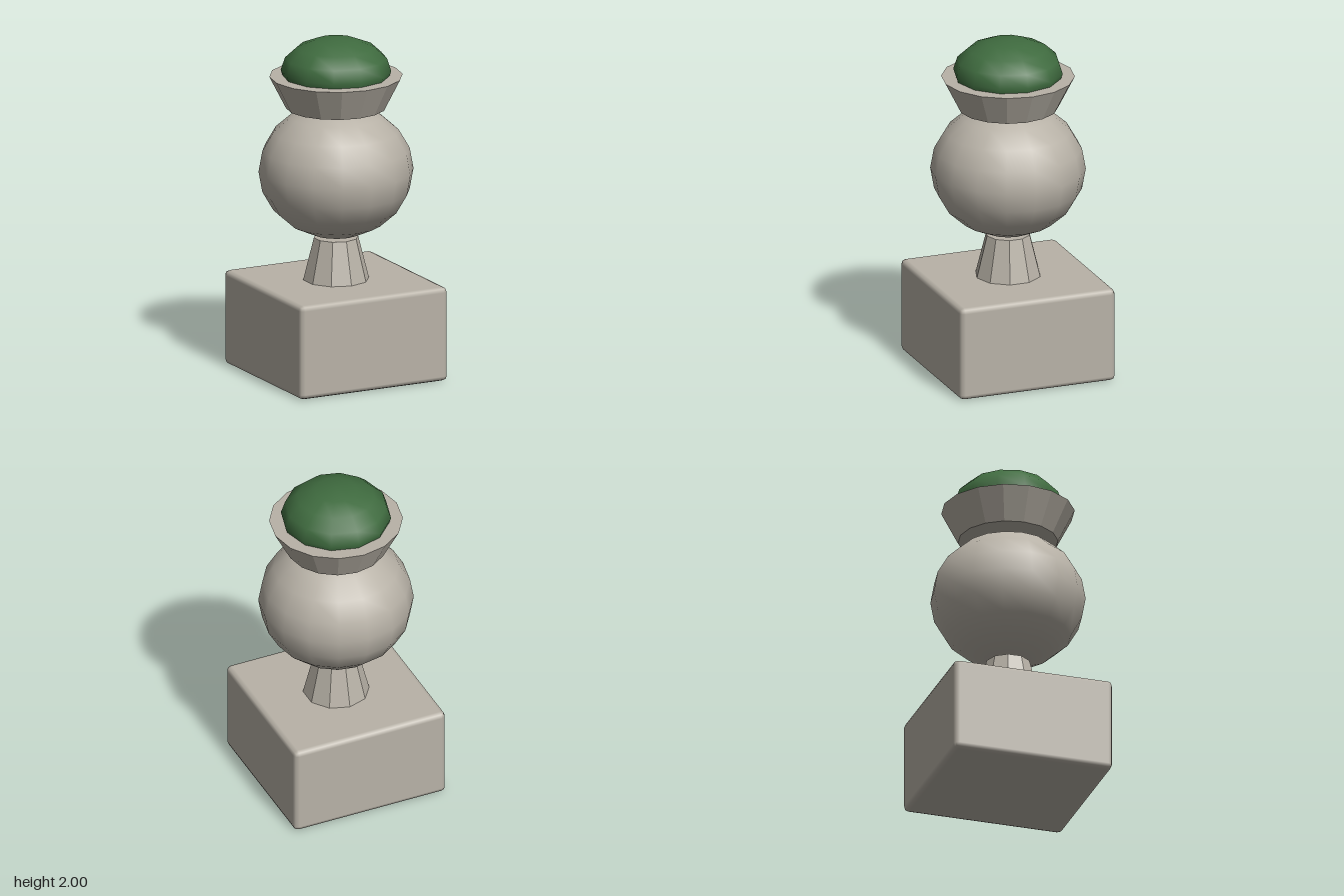
import * as THREE from 'three';
import { RoundedBoxGeometry } from 'three/addons/geometries/RoundedBoxGeometry.js';

const stone = new THREE.MeshStandardMaterial({ color: 0xb8b2a7 });
const facetedStone = new THREE.MeshStandardMaterial({ color: 0xb8b2a7, flatShading: true });
const green = new THREE.MeshStandardMaterial({ color: 0x3f6b3f });

export function createModel() {
  const group = new THREE.Group();
  const add = (name, geometry, material, y) => {
    const mesh = new THREE.Mesh(geometry, material);
    mesh.name = name;
    mesh.position.y = y;
    group.add(mesh);
    return mesh;
  };

  // Square plinth with softened edges
  add('base', new RoundedBoxGeometry(0.965, 0.56, 0.965, 1, 0.03), stone, 0.28);

  // Tapered faceted neck
  add('neck', new THREE.CylinderGeometry(0.13, 0.193, 0.25, 10), facetedStone, 0.685);

  // Slightly flattened ball
  const ball = add('ball', new THREE.SphereGeometry(0.45, 16, 10), stone, 1.21);
  ball.scale.y = 0.88;

  // Flared collar, solid top and bottom
  add('collar', new THREE.CylinderGeometry(0.387, 0.29, 0.19, 16), facetedStone, 1.68);

  // Flattened green cushion sitting in the collar
  const dome = add('dome', new THREE.SphereGeometry(0.32, 12, 8), green, 1.805);
  dome.scale.y = 0.61;

  return group;
}
